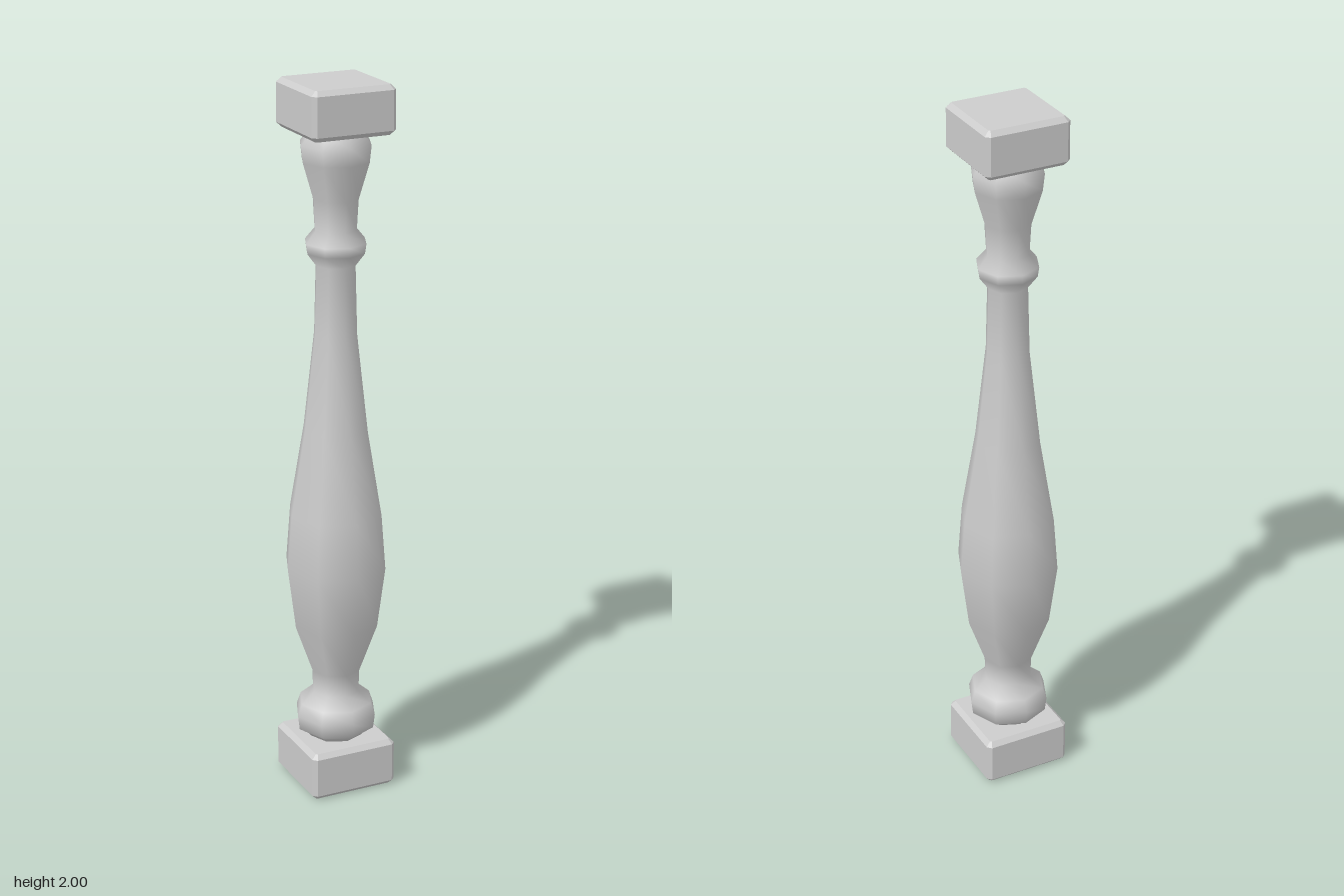
import * as THREE from 'three';

const stone = new THREE.MeshStandardMaterial({ color: 0xcccccc });
stone.name = 'paleStone';

// Square block with chamfered edges and corners
function block(name, half, bottom, top) {
  const bevel = 0.013, h = half - bevel, c = 0.004;
  const shape = new THREE.Shape([
    [h, -h + c], [h, h - c], [h - c, h], [-h + c, h],
    [-h, h - c], [-h, -h + c], [-h + c, -h], [h - c, -h],
  ].map(([x, y]) => new THREE.Vector2(x, y)));
  const geometry = new THREE.ExtrudeGeometry(shape, {
    depth: top - bottom - 2 * bevel,
    bevelEnabled: true, bevelSize: bevel, bevelThickness: bevel, bevelSegments: 1,
  });
  geometry.rotateX(-Math.PI / 2);
  geometry.translate(0, bottom + bevel, 0);
  const mesh = new THREE.Mesh(geometry, stone);
  mesh.name = name;
  return mesh;
}

// Eight-sided turned section from [radius, height] points
function turned(name, profile) {
  const points = profile.map(([r, y]) => new THREE.Vector2(r, y));
  const mesh = new THREE.Mesh(new THREE.LatheGeometry(points, 8), stone);
  mesh.name = name;
  return mesh;
}

export function createModel() {
  const group = new THREE.Group();
  group.name = 'baluster';
  group.add(
    block('baseBlock', 0.127, 0, 0.138),
    block('topBlock', 0.12, 1.868, 2),
    turned('turnedShaft', [
      // foot bulb
      [0.07, 0.13], [0.085, 0.147], [0.112, 0.165], [0.117, 0.205], [0.105, 0.24], [0.068, 0.272],
      // belly
      [0.07, 0.336], [0.122, 0.48], [0.145, 0.655], [0.133, 0.81], [0.092, 1.05],
      // neck
      [0.061, 1.32], [0.056, 1.51],
      // ring
      [0.082, 1.545], [0.086, 1.572], [0.059, 1.605],
      // flared head
      [0.064, 1.69], [0.094, 1.79], [0.099, 1.836], [0.075, 1.868], [0.07, 1.875],
    ]),
  );
  return group;
}
